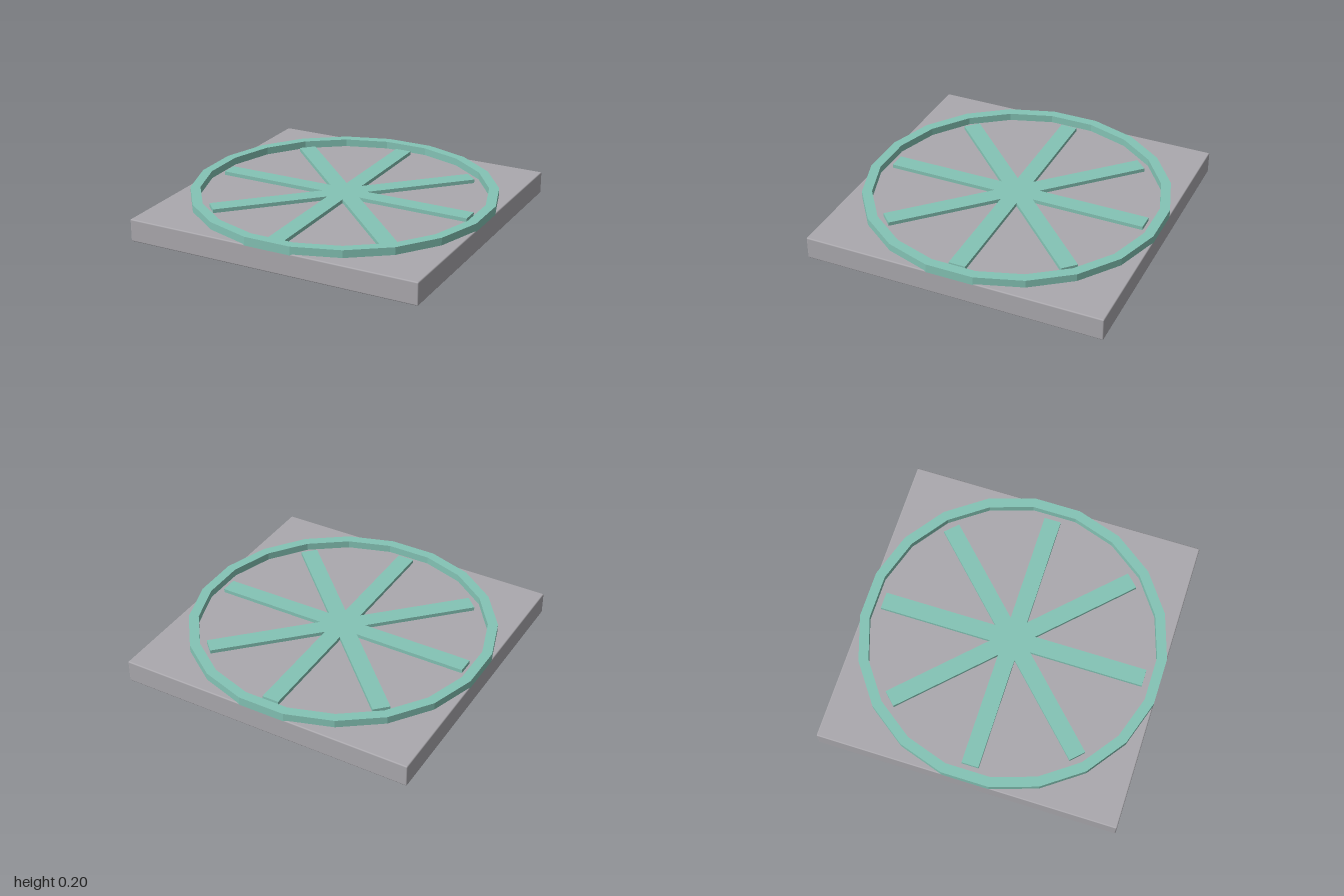
import * as THREE from 'three';
import { RoundedBoxGeometry } from 'three/addons/geometries/RoundedBoxGeometry.js';

const BASE_TOP = 0.15;

// Extrude an outline lying in the ground plane upwards from y to y + height
function slab(name, shape, y, height, material) {
  const geometry = new THREE.ExtrudeGeometry(shape, { depth: height, bevelEnabled: false });
  geometry.rotateX(-Math.PI / 2);
  geometry.translate(0, y, 0);
  const mesh = new THREE.Mesh(geometry, material);
  mesh.name = name;
  return mesh;
}

// Regular polygon with a flat side facing each axis
function polygon(radius, sides) {
  return Array.from({ length: sides }, (_, i) => {
    const a = ((i + 0.5) / sides) * Math.PI * 2;
    return new THREE.Vector2(radius * Math.cos(a), radius * Math.sin(a));
  });
}

// Outline of straight arms of equal width meeting at the centre
function starOutline(arms, length, halfWidth) {
  const points = [];
  const centre = new THREE.Vector2();
  const notch = halfWidth / Math.tan(Math.PI / arms);
  for (let i = 0; i < arms; i++) {
    const a = (i / arms) * Math.PI * 2;
    for (const [x, y] of [[length, -halfWidth], [length, halfWidth], [notch, halfWidth]]) {
      points.push(new THREE.Vector2(x, y).rotateAround(centre, a));
    }
  }
  return points;
}

export function createModel() {
  const group = new THREE.Group();
  group.name = 'floorTile';

  const stone = new THREE.MeshStandardMaterial({ color: 0xaba9ae });
  stone.name = 'grey stone';
  const teal = new THREE.MeshStandardMaterial({ color: 0x84c3b5 });
  teal.name = 'pale teal';

  // Square base with finely softened edges
  const base = new THREE.Mesh(new RoundedBoxGeometry(2, BASE_TOP, 2, 2, 0.008), stone);
  base.position.y = BASE_TOP / 2;
  base.name = 'base';
  group.add(base);

  // Twenty-sided raised rim, its flats flush with the base edges
  const rim = new THREE.Shape(polygon(1.0125, 20));
  rim.holes.push(new THREE.Path(polygon(0.947, 20).reverse()));
  group.add(slab('rim', rim, 0.142, 0.058, teal));

  // Eight low spokes that stop short of the rim
  const spokes = new THREE.Shape(starOutline(8, 0.893, 0.0565));
  group.add(slab('spokes', spokes, 0.145, 0.03, teal));

  return group;
}
